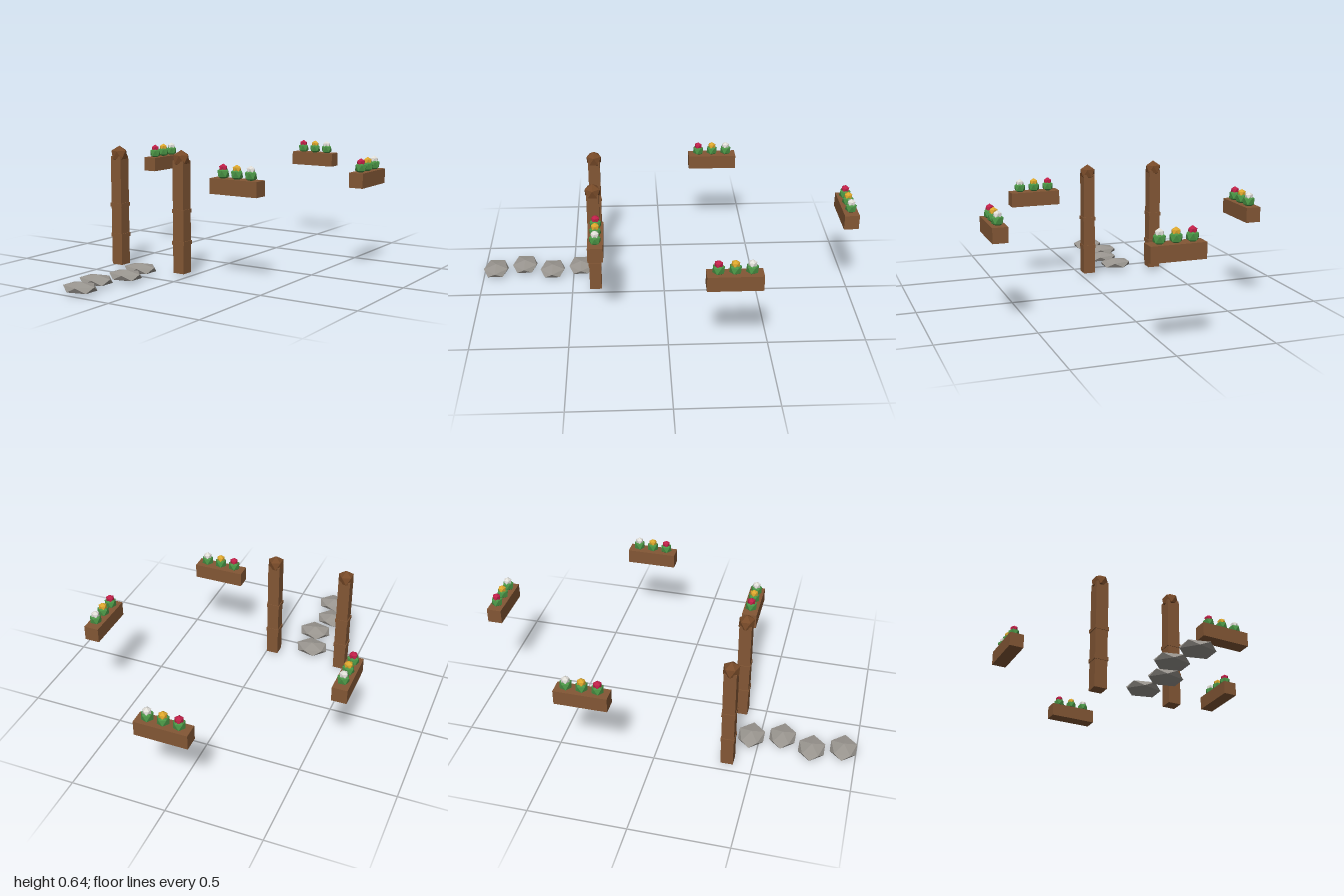
import * as THREE from 'three';

const material = (name, color) => {
  const m = new THREE.MeshStandardMaterial({ color, flatShading: true });
  m.name = name;
  return m;
};

// Twenty-sided ball standing on a vertex, with one upper-ring corner towards +x
function ballGeometry() {
  const g = new THREE.IcosahedronGeometry(1, 0);
  g.rotateZ(Math.atan(2 / (1 + Math.sqrt(5))));
  g.rotateY(Math.PI);
  return g;
}

export function createModel() {
  const wood = material('wood', 0x835735);
  const darkWood = material('dark wood', 0x774a28);
  const stone = material('stone', 0x9a9690);
  const leaf = material('leaf green', 0x4a9445);
  const petals = [
    material('red petals', 0xc01f48),
    material('yellow petals', 0xdca62c),
    material('white petals', 0xe0ded8),
  ];

  const model = new THREE.Group();
  model.name = 'gardenDecor';
  const ball = ballGeometry();
  const cube = new THREE.BoxGeometry(1, 1, 1);

  function add(parent, name, geometry, mat, position, scale) {
    const mesh = new THREE.Mesh(geometry, mat);
    mesh.name = name;
    mesh.position.set(...position);
    mesh.scale.set(...scale);
    parent.add(mesh);
    return mesh;
  }

  // Gate posts with two bands and a faceted cap
  for (const [name, x] of [['rightPost', -0.437], ['leftPost', -0.041]]) {
    const post = new THREE.Group();
    post.name = name;
    post.position.set(x, 0, 0.372);
    add(post, 'shaft', cube, wood, [0, 0.302, 0], [0.064, 0.57, 0.064]);
    for (const y of [0.172, 0.333]) {
      add(post, 'band', cube, wood, [0, y, 0], [0.072, 0.02, 0.07]);
    }
    add(post, 'cap', ball, darkWood, [0, 0.594, 0], [0.046, 0.046, 0.046]);
    model.add(post);
  }

  // Flower boxes: position and turn about y
  const boxes = [
    ['frontFlowerBox', 0.276, 0.354, 0],
    ['backFlowerBox', -0.002, -0.962, 0],
    ['rightFlowerBox', -0.659, -0.303, Math.PI / 2],
    ['leftFlowerBox', 0.656, -0.303, Math.PI / 2],
  ];
  for (const [name, x, z, turn] of boxes) {
    const box = new THREE.Group();
    box.name = name;
    box.position.set(x, 0, z);
    box.rotation.y = turn;
    add(box, 'planter', cube, wood, [0, 0.4755, 0], [0.268, 0.077, 0.077]);
    petals.forEach((petal, i) => {
      const px = (i - 1) * 0.079;
      add(box, 'foliage', ball, leaf, [px, 0.537, 0], [0.033, 0.033, 0.033]);
      add(box, 'blossom', ball, petal, [px, 0.562, 0], [0.023, 0.023, 0.023]);
    });
    model.add(box);
  }

  // Winding path of flattened stepping stones
  const steps = [[-0.241, 0.458], [-0.209, 0.617], [-0.264, 0.775], [-0.225, 0.934]];
  for (const [x, z] of steps) {
    add(model, 'steppingStone', ball, stone, [x, 0.029, z], [0.097, 0.029, 0.078]);
  }

  return model;
}
